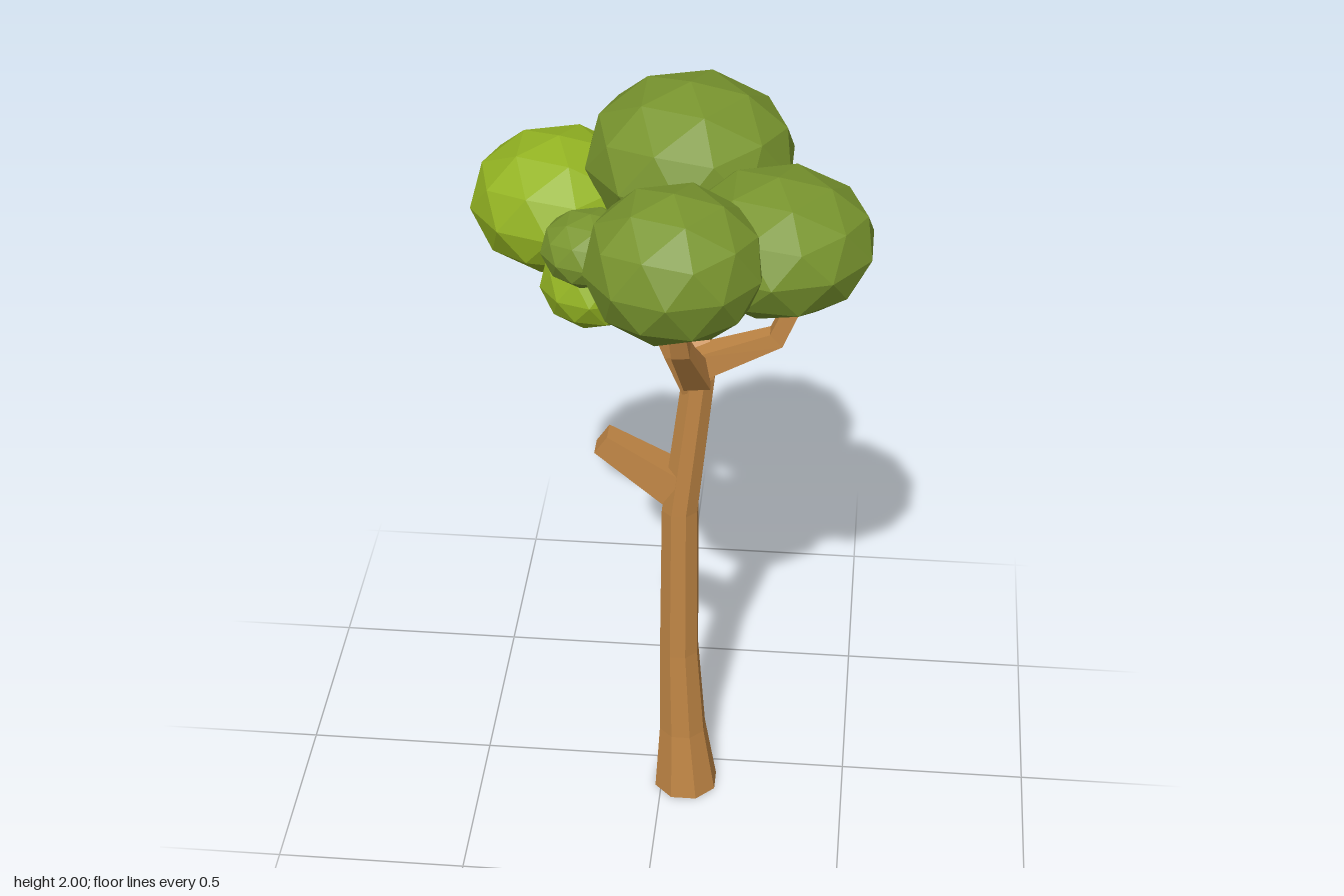
import * as THREE from 'three';

const mat = (name, color) => {
  const m = new THREE.MeshStandardMaterial({ color, flatShading: true });
  m.name = name;
  return m;
};

// Lofts a capped, faceted limb through [x, y, z, halfWidth] stations
function limb(stations, sides, levelRings = false) {
  const pts = stations.map(([x, y, z]) => new THREE.Vector3(x, y, z));
  const up = new THREE.Vector3(0, 1, 0);
  const pos = [], idx = [];
  const last = pts.length - 1;
  pts.forEach((p, i) => {
    const dir = pts[Math.min(i + 1, last)].clone().sub(pts[Math.max(i - 1, 0)]).normalize();
    const q = new THREE.Quaternion();
    if (!levelRings) q.setFromUnitVectors(up, dir);
    const r = stations[i][3] / Math.cos(Math.PI / sides);
    for (let k = 0; k < sides; k++) {
      const a = (k + 0.5) / sides * Math.PI * 2;
      const v = new THREE.Vector3(Math.sin(a) * r, 0, Math.cos(a) * r).applyQuaternion(q).add(p);
      pos.push(v.x, v.y, v.z);
    }
  });
  for (let i = 0; i < last; i++) {
    for (let k = 0; k < sides; k++) {
      const a = i * sides + k, b = i * sides + (k + 1) % sides;
      idx.push(a, b, b + sides, a, b + sides, a + sides);
    }
  }
  // End caps
  const top = last * sides;
  for (let k = 1; k < sides - 1; k++) {
    idx.push(0, k + 1, k, top, top + k, top + k + 1);
  }
  const g = new THREE.BufferGeometry();
  g.setAttribute('position', new THREE.Float32BufferAttribute(pos, 3));
  g.setIndex(idx);
  g.computeVertexNormals();
  return g;
}

export function createModel() {
  const tree = new THREE.Group();
  tree.name = 'tree';
  const bark = mat('bark brown', 0xc08645);
  const leaf = mat('leaf green', 0x78942e);
  const lightLeaf = mat('light leaf green', 0x93b322);

  const add = (name, geometry, material) => {
    const m = new THREE.Mesh(geometry, material);
    m.name = name;
    tree.add(m);
    return m;
  };

  // Curved octagonal trunk
  add('trunk', limb([
    [0.066, 0, 0.09, 0.082],
    [0.056, 0.2, 0.092, 0.06],
    [0.046, 0.47, 0.092, 0.05],
    [0.047, 0.93, 0.092, 0.046],
    [0.093, 1.34, 0.09, 0.041],
    [0.095, 1.4, 0.09, 0.025],
  ], 8, true), bark);

  // Four-sided branches and the cut stub
  const branches = {
    leftBranch: [[0.085, 1.37, 0.085, 0.036], [0.285, 1.455, 0.08, 0.023], [0.36, 1.63, 0.075, 0.019]],
    frontBranch: [[0.09, 1.34, 0.105, 0.034], [0.06, 1.5, 0.24, 0.023], [0.045, 1.66, 0.29, 0.019]],
    backBranch: [[0.09, 1.36, 0.07, 0.036], [0.065, 1.53, -0.11, 0.028], [0.045, 1.66, -0.2, 0.024]],
    rightBranch: [[0.085, 1.32, 0.095, 0.034], [0.04, 1.44, 0.13, 0.03], [-0.02, 1.58, 0.155, 0.02], [-0.09, 1.7, 0.155, 0.016]],
    stub: [[0.03, 1.005, 0.09, 0.046], [-0.155, 1.13, 0.09, 0.03]],
  };
  for (const [name, stations] of Object.entries(branches)) add(name, limb(stations, 4), bark);

  // Faceted foliage balls, one corner pointing straight up
  const ball = new THREE.IcosahedronGeometry(1, 1);
  ball.rotateZ(-Math.atan(2 / (1 + Math.sqrt(5))));
  const foliage = [
    // name, material, centre, horizontal radius, vertical radius
    ['backFoliage', leaf, [0.044, 1.79, -0.215], 0.271, 0.21],
    ['frontFoliage', leaf, [0.044, 1.755, 0.262], 0.223, 0.19],
    ['leftFoliage', leaf, [0.28, 1.725, 0.075], 0.245, 0.175],
    ['smallFoliage', leaf, [-0.167, 1.728, 0.153], 0.125, 0.092],
    ['lightFoliage', lightLeaf, [-0.292, 1.64, -0.245], 0.235, 0.18],
    ['smallLightFoliage', lightLeaf, [-0.17, 1.57, 0.04], 0.142, 0.115],
  ];
  for (const [name, material, c, r, h] of foliage) {
    const m = add(name, ball, material);
    m.position.set(...c);
    m.scale.set(r, h, r);
  }
  return tree;
}
